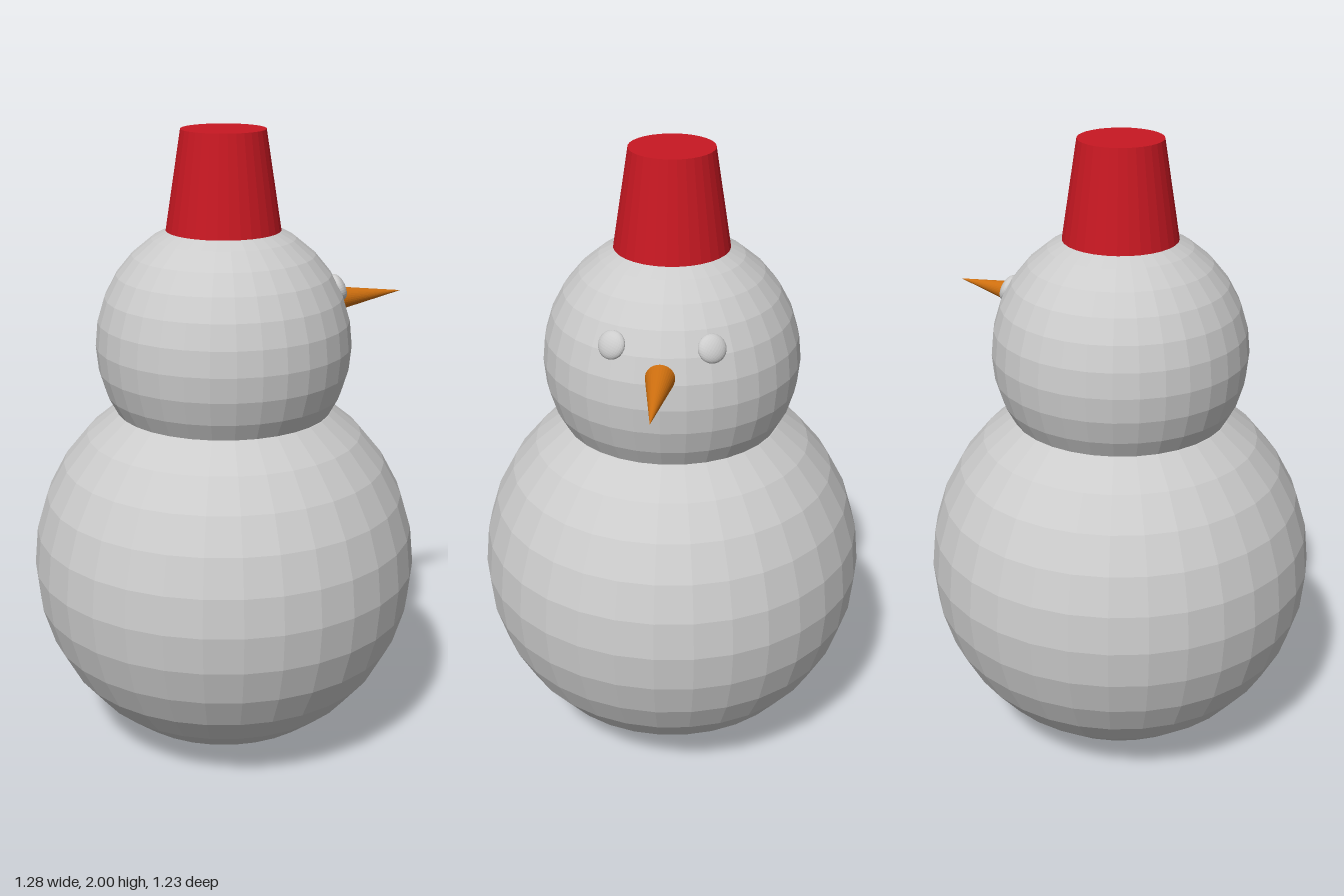
import * as THREE from 'three';

const CX = -0.026; // axis of the body, head and hat

function material(color) {
  return new THREE.MeshStandardMaterial({ color, flatShading: true });
}

export function createModel() {
  const group = new THREE.Group();
  const grey = material(0xcccccc);
  const red = material(0xc81822);
  const orange = material(0xd0700f);

  function add(name, geometry, mat, x, y, z = 0) {
    const mesh = new THREE.Mesh(geometry, mat);
    mesh.name = name;
    mesh.position.set(x, y, z);
    group.add(mesh);
    return mesh;
  }

  // Two stacked snowballs
  add('body', new THREE.SphereGeometry(0.617, 32, 16), grey, CX, 0.617);
  const head = add('head', new THREE.SphereGeometry(0.4, 32, 16), grey, CX, 1.34);

  // Tapered hat
  add('hat', new THREE.CylinderGeometry(0.13, 0.178, 0.307, 32), red, CX, 1.8465);

  // Carrot nose pointing along +x
  const nose = add('nose', new THREE.ConeGeometry(0.044, 0.285, 32), orange, 0.4955, 1.435);
  nose.rotation.z = -Math.PI / 2;

  // Flattened eyes lying on the surface of the head
  for (const side of [-1, 1]) {
    const normal = new THREE.Vector3(0.328, 0.172, side * 0.145).normalize();
    const p = normal.clone().multiplyScalar(0.397).add(head.position);
    const eye = add(side > 0 ? 'leftEye' : 'rightEye',
      new THREE.SphereGeometry(0.043, 32, 16), grey, p.x, p.y, p.z);
    eye.scale.z = 0.5;
    eye.quaternion.setFromUnitVectors(new THREE.Vector3(0, 0, 1), normal);
  }

  return group;
}
